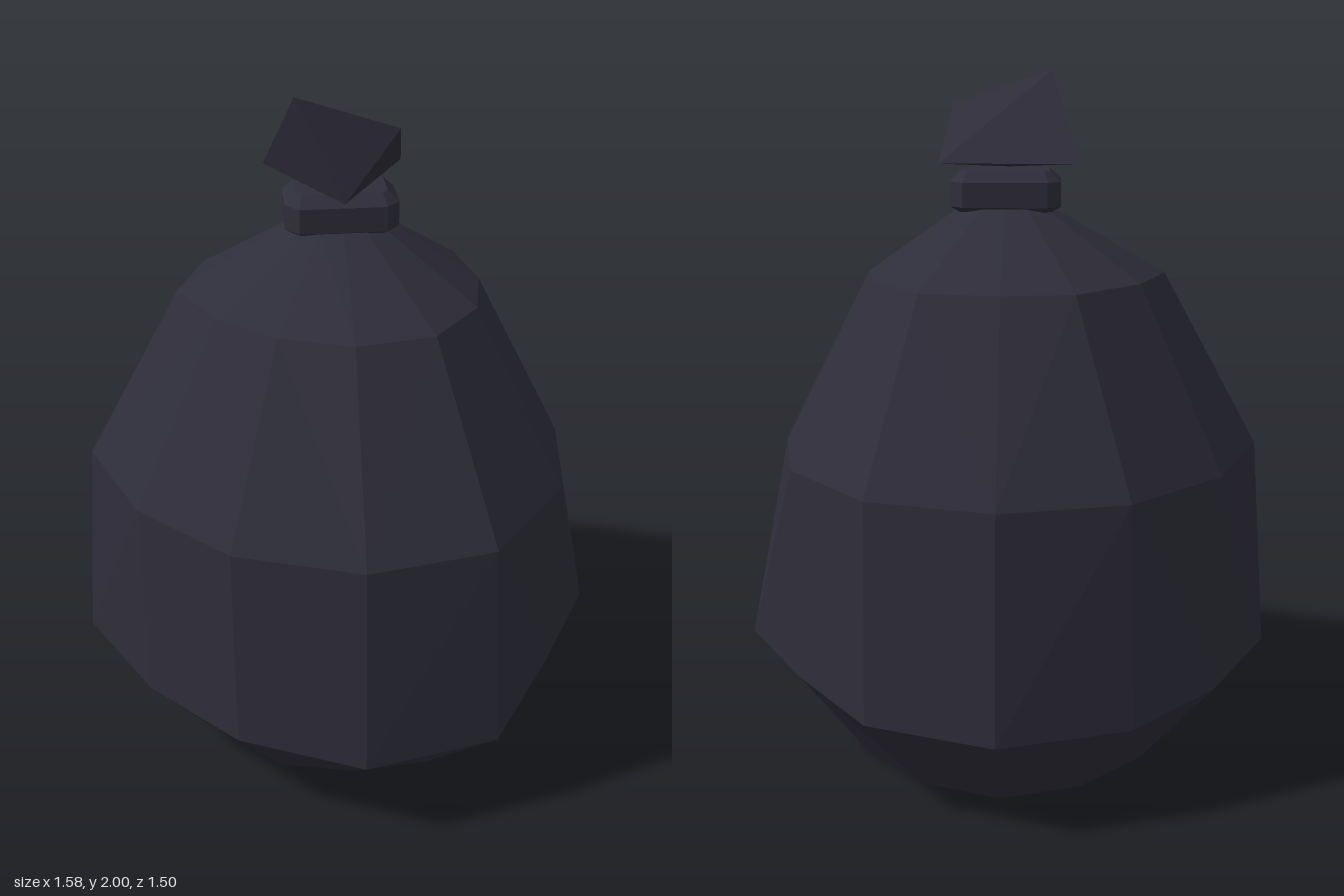
import * as THREE from 'three';

const plastic = new THREE.MeshStandardMaterial({ color: 0x2e2d3a, flatShading: true });
plastic.name = 'dark bag plastic';

function meshFrom(name, points, faces) {
  let g = new THREE.BufferGeometry();
  g.setAttribute('position', new THREE.Float32BufferAttribute(points.flat(), 3));
  g.setIndex(faces.flat());
  g = g.toNonIndexed();
  g.computeVertexNormals();
  const m = new THREE.Mesh(g, plastic);
  m.name = name;
  return m;
}

// Joins rings [y, [[x, z], ...]] running from +x towards +z, with both ends capped.
// leansBack(i) picks the diagonal of the panel between corners i and i + 1.
function loft(name, rings, leansBack) {
  const n = rings[0][1].length;
  const points = rings.flatMap(([y, ring]) => ring.map(([x, z]) => [x, y, z]));
  const faces = [];
  for (let r = 0; r < rings.length - 1; r++) {
    for (let i = 0; i < n; i++) {
      const a = r * n + i, b = r * n + (i + 1) % n, c = a + n, d = b + n;
      if (leansBack(i)) faces.push([a, c, b], [b, c, d]);
      else faces.push([a, c, d], [a, d, b]);
    }
  }
  const top = (rings.length - 1) * n;
  for (let i = 1; i < n - 1; i++) faces.push([0, i, i + 1], [top, top + i + 1, top + i]);
  return meshFrom(name, points, faces);
}

// Corners of a chamfered rectangle
const octagon = (w, d, cw, cd) => [
  [w, -cd], [w, cd], [cw, d], [-cw, d], [-w, cd], [-w, -cd], [-cw, -d], [cw, -d]];

export function createModel() {
  const group = new THREE.Group();
  group.name = 'tied bag';

  // Lumpy twelve-sided sack
  group.add(loft('sack', [
    [0, [[0.49, 0], [0.42, 0.22], [0.23, 0.42], [0, 0.44], [-0.22, 0.39], [-0.40, 0.22],
      [-0.47, 0], [-0.41, -0.23], [-0.23, -0.41], [0, -0.49], [0.23, -0.41], [0.41, -0.22]]],
    [0.29, [[0.79, 0], [0.60, 0.33], [0.385, 0.665], [0, 0.75], [-0.35, 0.595], [-0.60, 0.34],
      [-0.79, 0], [-0.61, -0.36], [-0.365, -0.63], [0, -0.75], [0.36, -0.63], [0.59, -0.33]]],
    [0.92, [[0.66, 0], [0.60, 0.34], [0.36, 0.64], [0, 0.71], [-0.35, 0.59], [-0.60, 0.34],
      [-0.74, 0], [-0.61, -0.35], [-0.35, -0.61], [0, -0.70], [0.35, -0.61], [0.59, -0.34]]],
    [1.43, [[0.40, 0], [0.36, 0.20], [0.22, 0.37], [0, 0.41], [-0.20, 0.34], [-0.36, 0.20],
      [-0.46, 0], [-0.38, -0.21], [-0.20, -0.39], [0, -0.42], [0.22, -0.39], [0.36, -0.21]]],
    [1.62, Array.from({ length: 12 }, (_, i) =>
      [0.13 * Math.cos(i * Math.PI / 6), 0.11 * Math.sin(i * Math.PI / 6)])],
  ], i => i % 3 === 2));

  // Chamfered tie around the neck
  const wide = octagon(0.157, 0.105, 0.12, 0.065);
  const narrow = octagon(0.125, 0.07, 0.11, 0.055);
  group.add(loft('tie', [[1.605, narrow], [1.625, wide], [1.695, wide], [1.725, narrow]], () => true));

  // Folded end of the bag above the tie
  group.add(meshFrom('foldedEnd', [
    [-0.13, 2.0, 0.09], [0.155, 1.905, 0.08], [0.185, 1.75, -0.125],
    [-0.205, 1.75, -0.125], [0, 1.72, 0.14],
  ], [[0, 3, 4], [0, 4, 1], [1, 4, 2], [0, 1, 2], [0, 2, 3], [3, 2, 4]]));

  return group;
}
